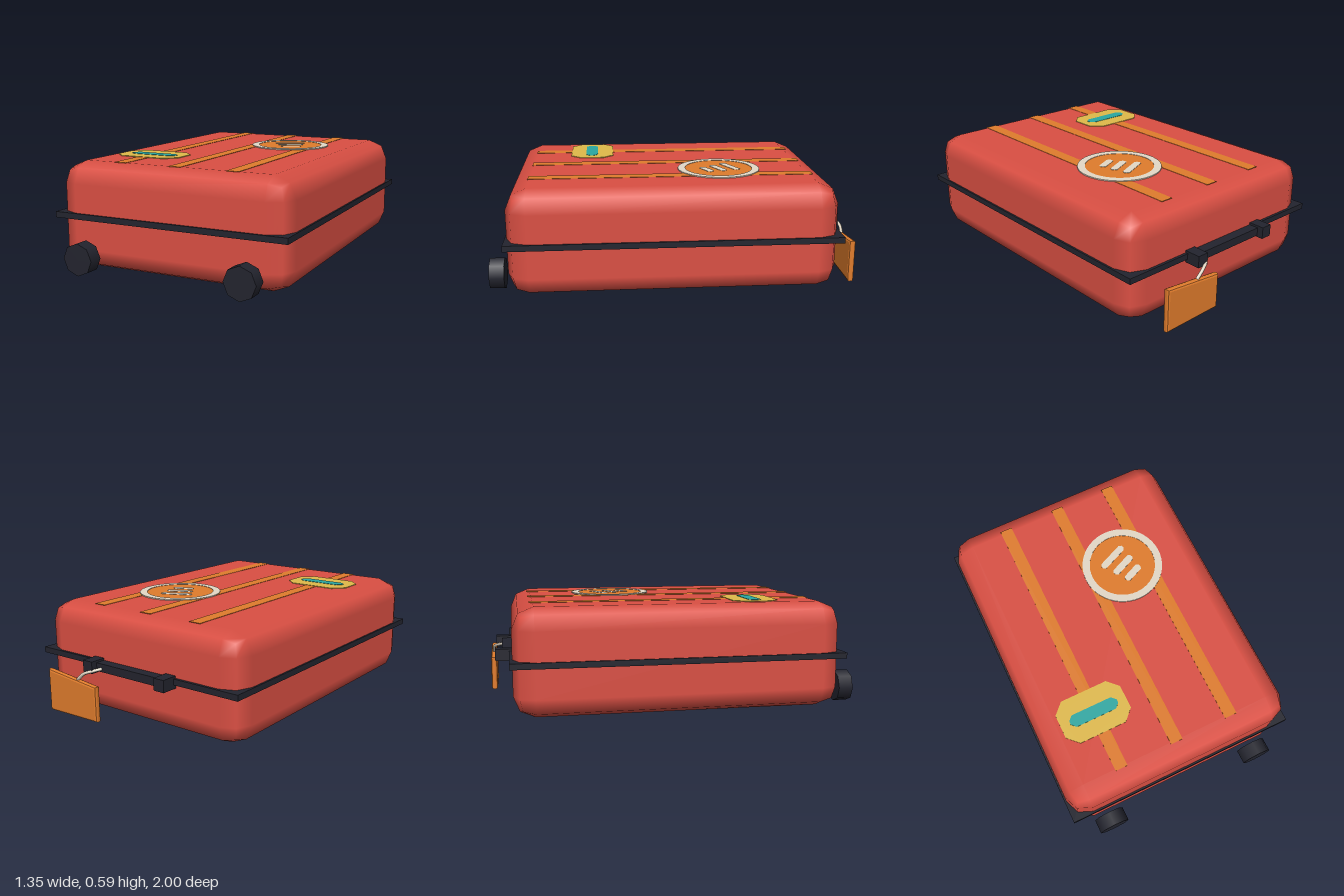
import * as THREE from 'three';
import { RoundedBoxGeometry } from 'three/addons/geometries/RoundedBoxGeometry.js';

const material = (name, color) => {
  const m = new THREE.MeshStandardMaterial({ color });
  m.name = name;
  return m;
};

// Rectangle with cut corners, centred on the origin
function cutRect(w, h, c) {
  const x = w / 2, y = h / 2;
  return new THREE.Shape([
    [x, -y + c], [x, y - c], [x - c, y], [-x + c, y],
    [-x, y - c], [-x, -y + c], [-x + c, -y], [x - c, -y],
  ].map(([a, b]) => new THREE.Vector2(a, b)));
}

export function createModel() {
  const red = material('shell red', 0xda4f43);
  const black = material('trim black', 0x23242e);
  const orange = material('orange', 0xe07c2c);
  const yellow = material('label yellow', 0xe0ba4a);
  const teal = material('label teal', 0x2aa8a2);
  const cream = material('cream', 0xe4d9c7);

  const model = new THREE.Group();
  model.name = 'suitcase';

  const add = (name, geometry, mat, x = 0, y = 0, z = 0, parent = model) => {
    const mesh = new THREE.Mesh(geometry, mat);
    mesh.name = name;
    mesh.position.set(x, y, z);
    parent.add(mesh);
    return mesh;
  };
  const box = (name, w, h, d, mat, x, y, z) =>
    add(name, new THREE.BoxGeometry(w, h, d), mat, x, y, z);

  // Shell and the seam band around it
  const top = 0.583;
  add('shell', new RoundedBoxGeometry(1.33, 0.58, 1.77, 1, 0.115), red, 0, 0.293, 0.01);
  box('seamBand', 1.35, 0.032, 1.795, black, 0, 0.296, 0.0075);

  // Wheels
  for (const side of [-1, 1]) {
    const wheel = new THREE.CylinderGeometry(0.088, 0.088, 0.08, 8).rotateX(Math.PI / 2);
    add(side > 0 ? 'leftWheel' : 'rightWheel', wheel, black, side * 0.47, 0.09, 0.96);
  }

  // Carry handle
  for (const side of [-1, 1]) {
    box(side > 0 ? 'leftHandlePost' : 'rightHandlePost', 0.065, 0.065, 0.1, black, side * 0.25, 0.292, -0.915);
  }
  box('handleGrip', 0.5, 0.045, 0.06, black, 0, 0.29, -0.9);

  // Luggage tag, tapering slightly to one side, and its cord
  const tagShape = new THREE.Shape([
    [0.177, 0.02], [0.513, 0.014], [0.513, 0.226], [0.177, 0.192],
  ].map(([x, y]) => new THREE.Vector2(x, y)));
  const tag = new THREE.ExtrudeGeometry(tagShape, {
    depth: 0.011, bevelThickness: 0.012, bevelSize: 0.012, bevelSegments: 2,
  });
  add('luggageTag', tag, orange, 0, 0, -0.988);
  const cord = new THREE.CatmullRomCurve3([
    new THREE.Vector3(0.18, 0.285, -0.92),
    new THREE.Vector3(0.22, 0.272, -0.958),
    new THREE.Vector3(0.265, 0.255, -0.98),
    new THREE.Vector3(0.31, 0.215, -0.983),
  ]);
  add('tagCord', new THREE.TubeGeometry(cord, 12, 0.009, 6), cream);

  // Thin plates lying on the lid
  const plate = (name, shape, mat, x, z, lift, turn = 0) => {
    const g = new THREE.ExtrudeGeometry(shape, { depth: 0.003 + lift, bevelEnabled: false, curveSegments: 24 });
    g.rotateX(-Math.PI / 2).rotateY(turn);
    return add(name, g, mat, x, top - 0.001, z);
  };

  // Painted stripes
  [-0.33, 0, 0.33].forEach((x, i) =>
    plate(`stripe${i + 1}`, cutRect(0.07, 1.57, 0), orange, x, 0.005, 0));

  // Round sticker with a pale rim and slanted bars
  const bx = 0.192, bz = -0.275;
  const disc = new THREE.Shape().absarc(0, 0, 0.2, 0, Math.PI * 2);
  plate('roundSticker', disc, orange, bx, bz, 0.002);
  const rim = new THREE.Shape().absarc(0, 0, 0.232, 0, Math.PI * 2);
  rim.holes.push(new THREE.Path().absarc(0, 0, 0.19, 0, Math.PI * 2, true));
  plate('roundStickerRim', rim, cream, bx, bz, 0.004);
  [[0.162, -0.344, 0.18], [0.196, -0.273, 0.15], [0.226, -0.204, 0.12]].forEach(([x, z, length], i) =>
    plate(`stickerBar${i + 1}`, cutRect(length, 0.04, 0.012), cream, x, z, 0.004, 0.42));

  // Label with cut corners
  plate('label', cutRect(0.39, 0.255, 0.06), yellow, -0.335, 0.447, 0.002);
  plate('labelBar', cutRect(0.285, 0.07, 0.025), teal, -0.333, 0.45, 0.004);

  return model;
}
